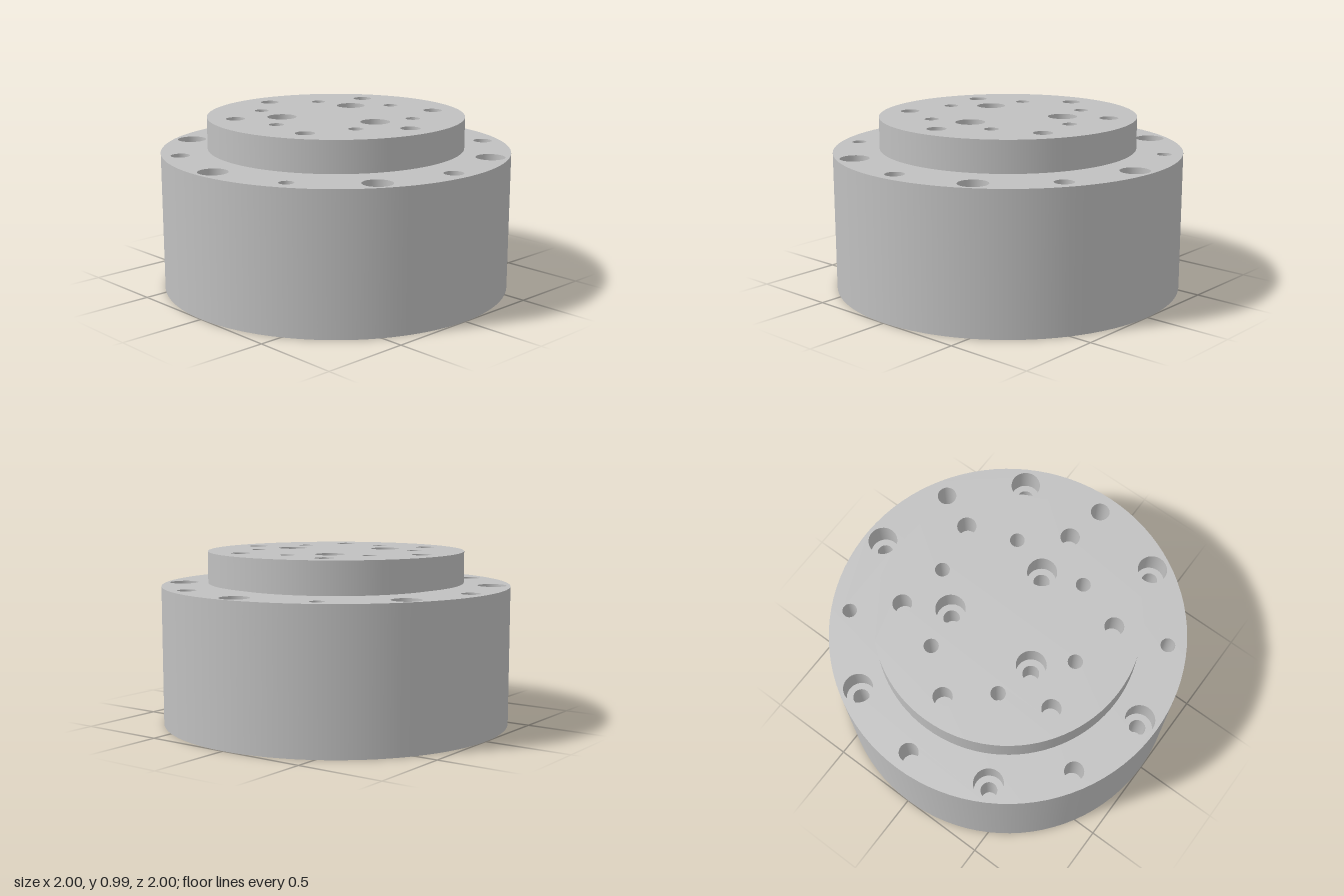
import * as THREE from 'three';
import { mergeGeometries } from 'three/addons/utils/BufferGeometryUtils.js';

const H_BODY = 0.795, H_PLATE = 0.81, H_TOP = 0.99;
const R_BODY = 1, R_PLATE = 0.735, R_NECK = 0.645;
const BIG = 96, SMALL = 32;

const steel = new THREE.MeshStandardMaterial({ color: 0xc0c0c0 });
steel.name = 'machined grey metal';

// Turned surface with a sharp edge at every profile point
function turned(profile, segments) {
  const bands = [];
  for (let i = 0; i < profile.length - 1; i++) {
    const pair = [profile[i], profile[i + 1]].map(([r, y]) => new THREE.Vector2(r, y));
    bands.push(new THREE.LatheGeometry(pair, segments));
  }
  return mergeGeometries(bands);
}

// Points of a circle on the xz plane
function circle(x, z, r, segments) {
  return Array.from({ length: segments }, (_, i) => {
    const a = (i / segments) * Math.PI * 2;
    return new THREE.Vector2(x + r * Math.cos(a), z + r * Math.sin(a));
  });
}

// Flat disc at height y, pierced by holes, facing up (1) or down (-1)
function face(radius, y, holes, up) {
  const shape = new THREE.Shape(circle(0, 0, radius, BIG));
  for (const h of holes) {
    shape.holes.push(new THREE.Path(circle(h.x, -up * h.z, h.r, h.seg ?? SMALL)));
  }
  const geometry = new THREE.ShapeGeometry(shape);
  geometry.rotateX((-up * Math.PI) / 2);
  return geometry.translate(0, y, 0);
}

// Evenly spaced hole positions on a bolt circle, angles in degrees from +x to +z
function boltCircle(radius, angles, r, profile, name) {
  return angles.map((deg) => {
    const a = THREE.MathUtils.degToRad(deg);
    return { x: radius * Math.cos(a), z: radius * Math.sin(a), r, profile, name };
  });
}

// Pocket profiles, measured from the face they open in
const blind = (r, d) => [[r, 0], [r, -d], [0, -d]];
const counterbore = (r, d, r2, d2) => [[r, 0], [r, -d], [r2, -d], [r2, -d2], [0, -d2]];

export function createModel() {
  const model = new THREE.Group();
  model.name = 'rotaryFlangeUnit';

  function add(parent, name, geometry, x = 0, y = 0, z = 0) {
    const mesh = new THREE.Mesh(geometry, steel);
    mesh.name = name;
    mesh.position.set(x, y, z);
    parent.add(mesh);
  }
  function group(name) {
    const g = new THREE.Group();
    g.name = name;
    model.add(g);
    return g;
  }
  function addPockets(parent, holes, y) {
    for (const h of holes) add(parent, h.name, turned(h.profile, SMALL), h.x, y, h.z);
  }

  // Holes around the body's rim
  const bores = boltCircle(0.895, [0, 60, 120, 180, 240, 300], 0.083,
    counterbore(0.083, 0.16, 0.046, 0.4), 'rimCounterbore');
  const rimBlind = boltCircle(0.895, [30, 90, 210, 270], 0.054, blind(0.054, 0.25), 'rimHole');
  const through = boltCircle(0.895, [150, 330], 0.041,
    [[0.041, 0], [0.041, -H_BODY]], 'throughHole');
  const rimHoles = [...bores, ...rimBlind, ...through];

  // Holes in the underside
  const underHoles = boltCircle(0.577, [45, 135, 225, 315], 0.043,
    [[0, 0.25], [0.043, 0.25], [0.043, 0]], 'undersideHole');
  const recess = { x: 0, z: 0, r: 0.293, seg: BIG };

  // Main cylindrical body
  const body = group('body');
  add(body, 'bodyWall', turned([[R_BODY, 0], [R_BODY, H_BODY]], BIG));
  add(body, 'bodyTop', face(R_BODY, H_BODY, [...rimHoles, { x: 0, z: 0, r: R_NECK, seg: BIG }], 1));
  add(body, 'bodyUnderside', face(R_BODY, 0, [...through, ...underHoles, recess], -1));
  addPockets(body, rimHoles, H_BODY);
  addPockets(body, underHoles, 0);

  // Stepped central recess with a pilot hole
  add(body, 'centreRecess', turned([
    [0, 0.35], [0.066, 0.35], [0.066, 0.055], [0.24, 0.055],
    [0.272, 0.035], [0.293, 0.035], [0.293, 0],
  ], BIG));

  // Narrow neck below the mounting plate
  add(model, 'neck', turned([[R_NECK, H_BODY], [R_NECK, H_PLATE]], BIG));

  // Round mounting plate and its three hole patterns
  const sixth = [0, 60, 120, 180, 240, 300];
  const plateHoles = [
    ...boltCircle(0.58, sixth.map((a) => a + 30), 0.054, blind(0.054, 0.17), 'plateHole'),
    ...boltCircle(0.45, sixth, 0.041, blind(0.041, 0.25), 'plateSmallHole'),
    ...boltCircle(0.315, [90, 210, 330], 0.083,
      counterbore(0.083, 0.14, 0.046, 0.3), 'plateCounterbore'),
  ];
  const plate = group('mountingPlate');
  add(plate, 'plateRim', turned([[R_NECK, H_PLATE], [R_PLATE, H_PLATE], [R_PLATE, H_TOP]], BIG));
  add(plate, 'plateTop', face(R_PLATE, H_TOP, plateHoles, 1));
  addPockets(plate, plateHoles, H_TOP);

  return model;
}
